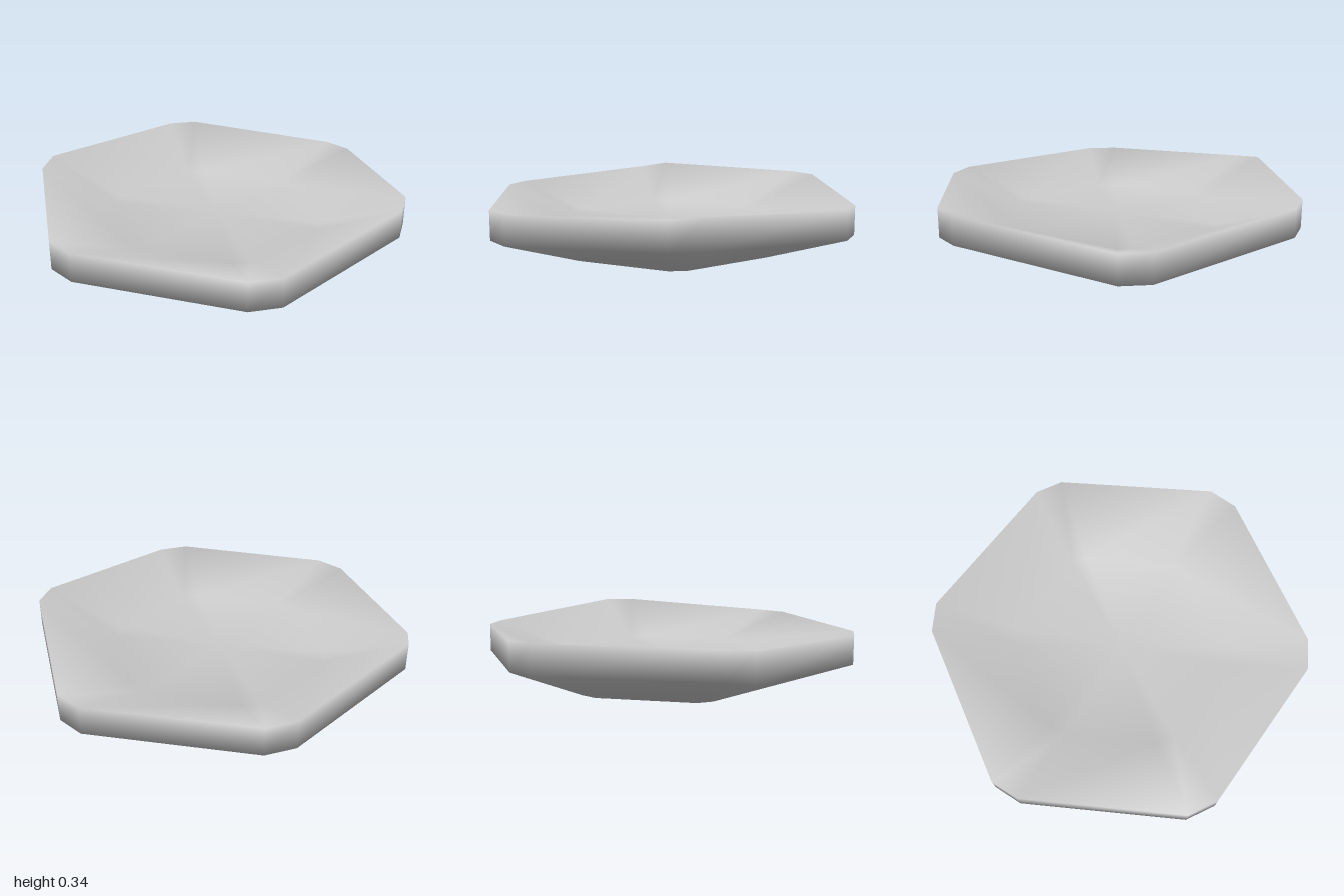
import * as THREE from 'three';

// Rim corners, clockwise from above: x, z, height of the upper edge
const RIM = [
  [-1.0, -0.13, 0.335], [-0.51, -0.86, 0.327], [-0.37, -0.935, 0.325],
  [0.5, -0.875, 0.285], [0.63, -0.79, 0.285], [1.0, -0.02, 0.34],
  [0.99, 0.14, 0.335], [0.52, 0.855, 0.285], [0.375, 0.93, 0.285],
  [-0.48, 0.87, 0.285], [-0.62, 0.78, 0.285], [-1.0, 0.02, 0.315],
];
const THICKNESS = 0.15;
const FLOOR_SCALE = 0.58;

// One closed, smooth-shaded shell: floor, slope, rim wall, underside
function dishGeometry() {
  const n = RIM.length;
  const floor = (y) => RIM.map(([x, z]) => [x * FLOOR_SCALE, y, z * FLOOR_SCALE]);
  const rim = (drop) => RIM.map(([x, z, y]) => [x, y - drop, z]);
  const rings = [floor(THICKNESS), rim(0), rim(THICKNESS), floor(0)];
  const points = [...rings.flat(), [0, THICKNESS, 0], [0, 0, 0]];
  const topCentre = n * rings.length;
  const index = [];

  for (let k = 0; k < n; k++) {
    const j = (k + 1) % n;
    index.push(topCentre, j, k);
    for (let r = 0; r < rings.length - 1; r++) {
      const a = r * n, b = a + n;
      index.push(a + k, b + j, b + k, a + k, a + j, b + j);
    }
    const last = (rings.length - 1) * n;
    index.push(topCentre + 1, last + k, last + j);
  }

  const geometry = new THREE.BufferGeometry();
  geometry.setAttribute('position', new THREE.Float32BufferAttribute(points.flat(), 3));
  geometry.setIndex(index);
  geometry.computeVertexNormals();
  return geometry;
}

export function createModel() {
  const group = new THREE.Group();
  group.name = 'hexagonalDish';
  const grey = new THREE.MeshStandardMaterial({ color: 0xcccccc });
  grey.name = 'lightGrey';
  const dish = new THREE.Mesh(dishGeometry(), grey);
  dish.name = 'dish';
  group.add(dish);
  return group;
}
